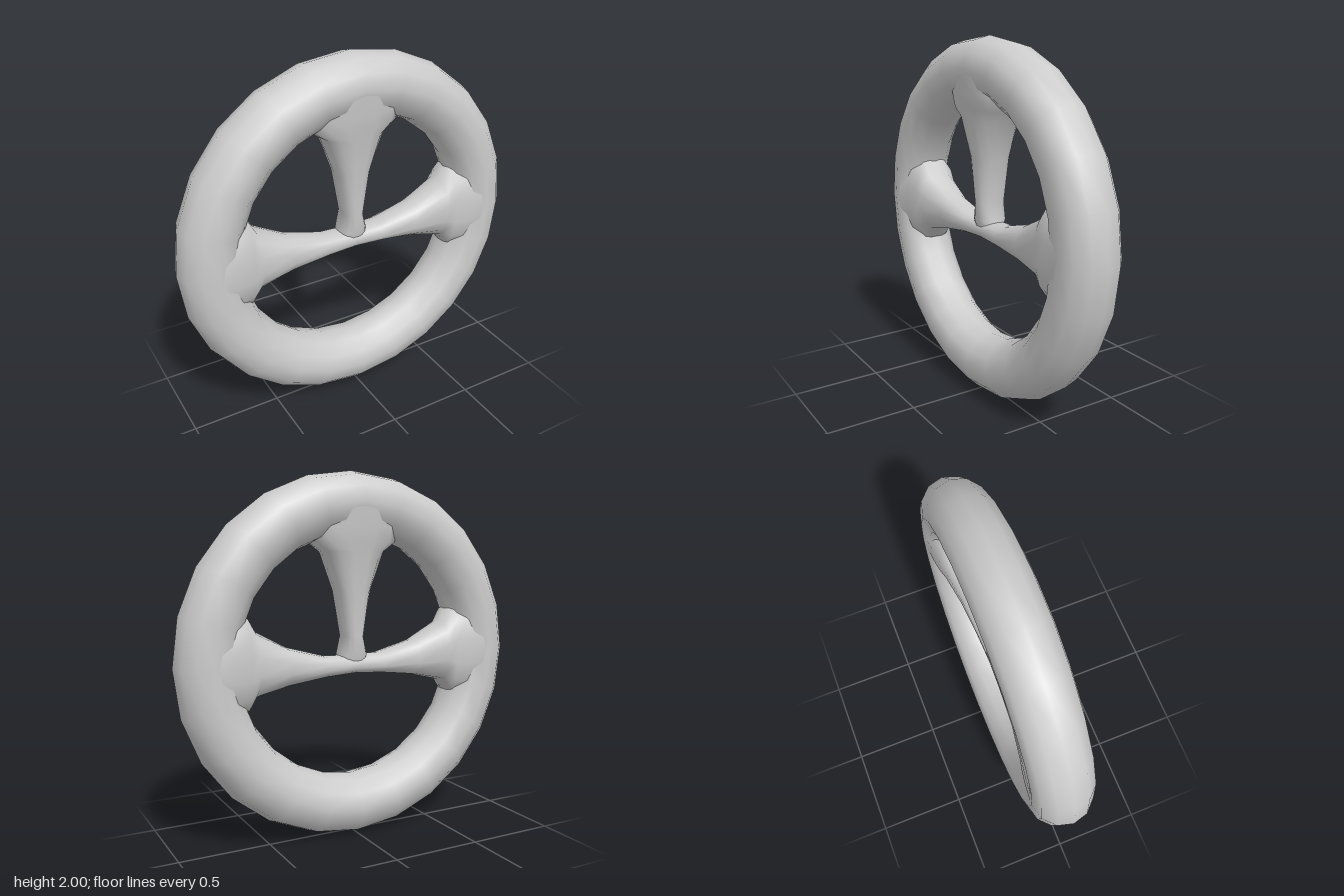
import * as THREE from 'three';

const material = new THREE.MeshStandardMaterial({ color: 0xcccccc, side: THREE.DoubleSide });
const SIDES = 14;

// Rounded cross-sections joined along an axis.
// Each station: [distance along axis, low edge, high edge, half depth in z]
function loft(stations, place) {
  const positions = [], index = [];
  const soft = (v) => Math.sign(v) * Math.abs(v) ** 0.85;
  stations.forEach(([s, lo, hi, depth], i) => {
    for (let j = 0; j < SIDES; j++) {
      const a = (j / SIDES) * Math.PI * 2;
      const across = (lo + hi) / 2 + ((hi - lo) / 2) * soft(Math.cos(a));
      positions.push(...place(s, across, depth * soft(Math.sin(a))));
      if (i === 0) continue;
      const k = (j + 1) % SIDES, p = (i - 1) * SIDES, q = i * SIDES;
      index.push(p + j, q + j, q + k, p + j, q + k, p + k);
    }
  });
  const geometry = new THREE.BufferGeometry();
  geometry.setAttribute('position', new THREE.Float32BufferAttribute(positions, 3));
  geometry.setIndex(index);
  geometry.computeVertexNormals();
  return geometry;
}

export function createModel() {
  const group = new THREE.Group();
  const add = (name, geometry) => {
    const mesh = new THREE.Mesh(geometry, material);
    mesh.name = name;
    group.add(mesh);
    return mesh;
  };

  // Round rim
  add('rim', new THREE.TorusGeometry(0.833, 0.167, 12, 24)).position.y = 1;

  // Horizontal bar, narrow at the hub and flaring into the rim on both sides
  const half = [
    [0.17, 0.895, 1.01, 0.085],
    [0.39, 0.865, 1.07, 0.1],
    [0.58, 0.82, 1.17, 0.13],
    [0.625, 0.745, 1.255, 0.14],
    [0.7, 0.73, 1.27, 0.153],
    [0.82, 0.74, 1.26, 0.165],
  ];
  const mirrored = half.map(([s, ...rest]) => [-s, ...rest]).reverse();
  const bar = [...mirrored, [0, 0.905, 1.005, 0.08], ...half];
  add('sideSpokes', loft(bar, (s, across, z) => [s, across, -z]));

  // Upright spoke rising from the bar to the top of the rim
  const upright = [
    [-0.06, 0.08, 0.06],
    [0.015, 0.08, 0.085],
    [0.11, 0.055, 0.085],
    [0.36, 0.1, 0.1],
    [0.57, 0.18, 0.13],
    [0.62, 0.255, 0.14],
    [0.7, 0.27, 0.153],
    [0.82, 0.26, 0.165],
  ].map(([s, w, depth]) => [s, -w, w, depth]);
  add('topSpoke', loft(upright, (s, across, z) => [across, 1 + s, z]));

  return group;
}
